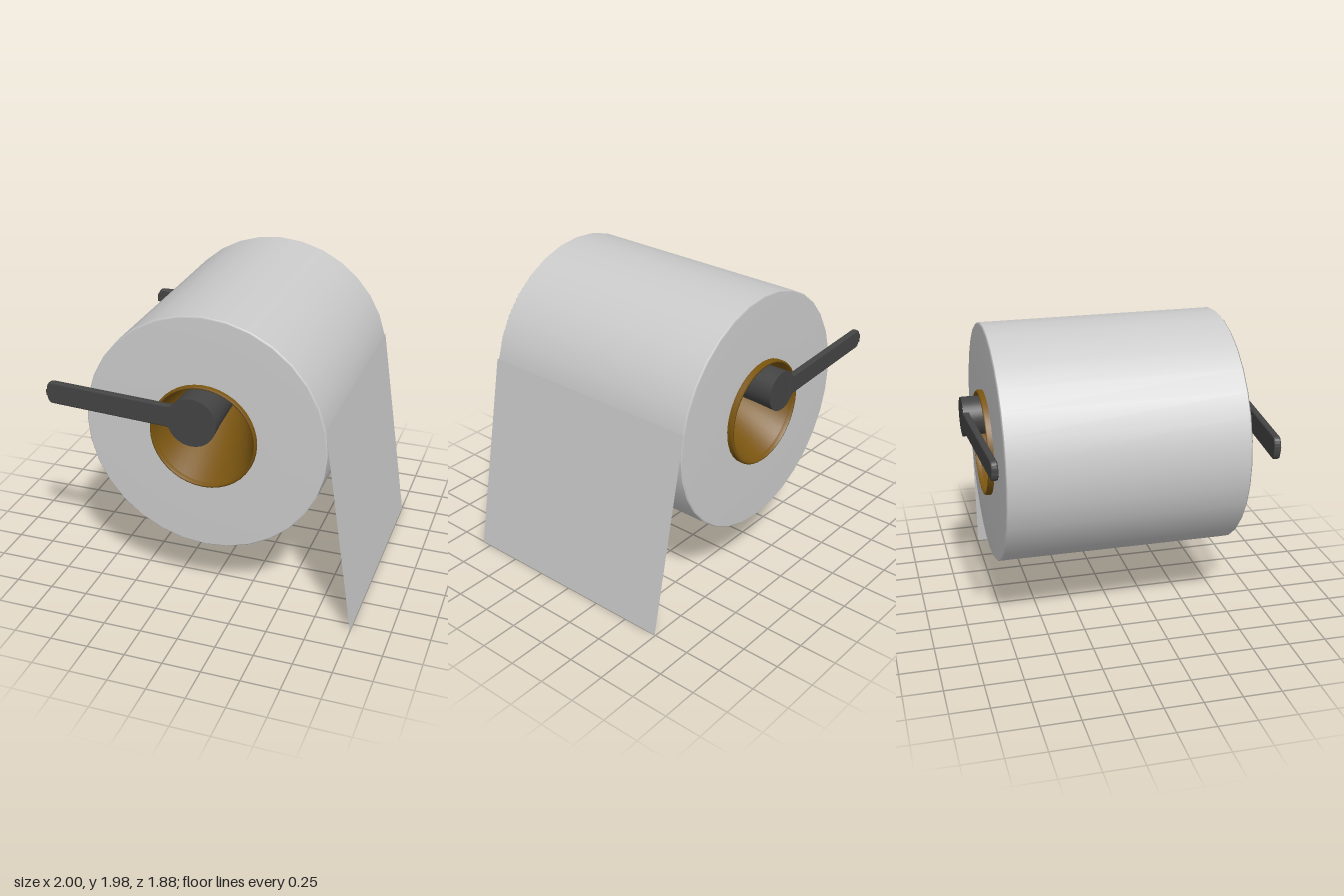
import * as THREE from 'three';

const paper = new THREE.MeshStandardMaterial({ color: 0xcccccc });
const sheetMat = new THREE.MeshStandardMaterial({ color: 0xcccccc, side: THREE.DoubleSide });
const card = new THREE.MeshStandardMaterial({ color: 0x7a5510, side: THREE.DoubleSide });
const metal = new THREE.MeshStandardMaterial({ color: 0x444444 });

function part(name, geometry, material) {
  const mesh = new THREE.Mesh(geometry, material);
  mesh.name = name;
  return mesh;
}

// Skin over circular rings [z, centreX, centreY, radius]; a repeated ring makes a sharp edge
function loft(rings, sides = 32) {
  const pos = [], index = [];
  for (const [z, cx, cy, r] of rings)
    for (let j = 0; j < sides; j++) {
      const t = (j / sides) * Math.PI * 2;
      pos.push(cx + r * Math.cos(t), cy + r * Math.sin(t), z);
    }
  for (let i = 0; i < rings.length - 1; i++)
    for (let j = 0; j < sides; j++) {
      const k = (j + 1) % sides;
      const a = i * sides + j, b = i * sides + k, c = a + sides, d = b + sides;
      index.push(a, b, c, b, d, c);
    }
  const g = new THREE.BufferGeometry();
  g.setAttribute('position', new THREE.Float32BufferAttribute(pos, 3));
  g.setIndex(index);
  g.computeVertexNormals();
  return g;
}

// Flat bar with a rounded tip, running along -x from the rod, flared where it joins
function arm(name, length, height, y, tip, root) {
  const h = height / 2, c = 0.04;
  const s = new THREE.Shape();
  s.moveTo(0, -h - 0.03);
  s.quadraticCurveTo(-0.03, -h, -0.07, -h);
  s.lineTo(-length + c, -h);
  s.quadraticCurveTo(-length, -h, -length, -h + 2 * c);
  s.lineTo(-length, h - 2 * c);
  s.quadraticCurveTo(-length, h, -length + c, h);
  s.lineTo(-0.07, h);
  s.quadraticCurveTo(-0.03, h, 0, h + 0.03);
  s.closePath();
  const g = new THREE.ExtrudeGeometry(s, {
    depth: 0.025, bevelEnabled: true, bevelThickness: 0.009, bevelSize: 0.009,
    bevelOffset: -0.009, bevelSegments: 2, curveSegments: 6,
  });
  g.translate(0, 0, -0.0125);
  const mesh = part(name, g, metal);
  mesh.position.set(root[0], y, root[1]);
  mesh.rotation.y = Math.atan2(tip[1] - root[1], root[0] - tip[0]);
  return mesh;
}

export function createModel() {
  const model = new THREE.Group();
  model.name = 'paperRollOnHolder';
  const cx = 0.015, cy = 1.195;

  // Wound paper with slightly softened edges
  const profile = [
    [0.335, -0.79], [0.775, -0.79], [0.785, -0.78], [0.785, -0.78],
    [0.785, 0.765], [0.785, 0.765], [0.775, 0.775], [0.335, 0.775],
  ].map(([r, z]) => new THREE.Vector2(r, z));
  const roll = part('paperRoll', new THREE.LatheGeometry(profile, 32).rotateX(Math.PI / 2), paper);
  roll.position.set(cx, cy, 0);
  model.add(roll);

  // Loose sheet leaving the roll tangentially, skewed towards the front
  const sheetGeo = new THREE.PlaneGeometry(1, 1, 1, 10);
  const p = sheetGeo.attributes.position;
  for (let i = 0; i < p.count; i++) {
    const t = 0.5 - p.getY(i);
    const z = (p.getX(i) < 0 ? 0.775 : -0.79) + 0.047 * t;
    p.setXYZ(i, 0.787 + 0.213 * t, 1.36 * (1 - t), z);
  }
  sheetGeo.computeVertexNormals();
  model.add(part('looseSheet', sheetGeo, sheetMat));

  // Cardboard core: a lip at each end, narrowing inside towards the rod
  const lip = (z, r) => [z, cx, cy, r];
  model.add(part('cardboardCore', loft([
    lip(-0.77, 0.347), lip(-0.82, 0.347), lip(-0.828, 0.34), lip(-0.828, 0.33),
    lip(-0.8, 0.325), lip(-0.8, 0.325),
    [0, 0.01, 1.39, 0.1],
    lip(0.775, 0.325), lip(0.775, 0.325),
    lip(0.803, 0.33), lip(0.803, 0.34), lip(0.795, 0.347), lip(0.76, 0.347),
  ], 40), card));

  // Rod through the core, waisted in the middle
  const back = [-0.942, 0.012, 1.387, 0.129], front = [0.938, 0, 1.362, 0.157];
  const cap = ([z, x, y]) => [z, x, y, 0];
  model.add(part('holderRod', loft([
    cap(back), back, back, [-0.8, 0.012, 1.392, 0.125], [0, 0.01, 1.4, 0.11],
    [0.78, 0, 1.37, 0.147], front, front, cap(front),
  ]), metal));

  // Side arms
  model.add(arm('frontArm', 0.9, 0.145, 1.377, [-1, 0.838], [-0.1, 0.913]));
  model.add(arm('backArm', 0.9, 0.125, 1.385, [-0.96, -0.878], [-0.062, -0.925]));

  return model;
}
